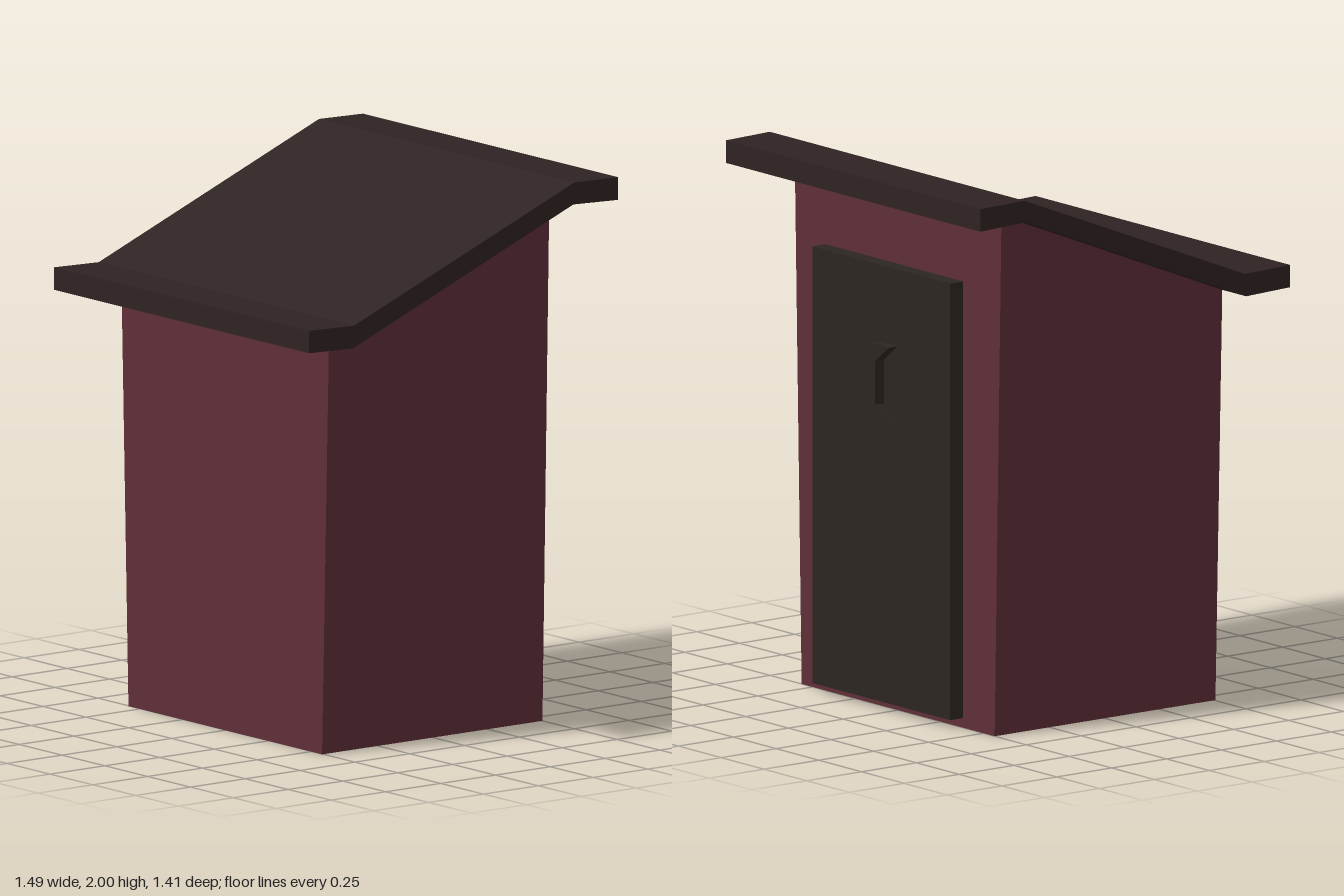
import * as THREE from 'three';

const mat = (name, color) => {
  const m = new THREE.MeshStandardMaterial({ color, flatShading: true });
  m.name = name;
  return m;
};

const shapeOf = (points) => new THREE.Shape(points.map(([x, y]) => new THREE.Vector2(x, y)));

const extrude = (points, depth) =>
  new THREE.ExtrudeGeometry(shapeOf(points), { depth, bevelEnabled: false });

export function createModel() {
  const wallRed = mat('wall red', 0x5f2f38);
  const roofBrown = mat('roof dark brown', 0x2e2322);
  const doorBrown = mat('door dark brown', 0x2d2622);

  const model = new THREE.Group();
  const add = (name, geometry, material) => {
    const mesh = new THREE.Mesh(geometry, material);
    mesh.name = name;
    model.add(mesh);
    return mesh;
  };

  // Hut body: a box narrowing to the ground, with a top that slopes up to the back
  const body = new THREE.BoxGeometry(1, 1, 1);
  const p = body.attributes.position;
  for (let i = 0; i < p.count; i++) {
    const top = p.getY(i) > 0;
    const front = p.getZ(i) > 0;
    p.setX(i, Math.sign(p.getX(i)) * (top ? 0.605 : 0.565));
    p.setY(i, top ? (front ? 1.52 : 1.92) : 0);
    p.setZ(i, front ? 0.505 : -0.5);
  }
  body.computeVertexNormals();
  // Walls are red, the underside (-y) is dark
  add('body', body, [wallRed, wallRed, wallRed, roofBrown, wallRed, wallRed]);

  // Roof: bent slab with a lip at front and back, profile in (z, y)
  const lower = [[0.705, 1.522], [0.505, 1.515], [-0.5, 1.92], [-0.705, 1.912]];
  const upper = [[-0.705, 1.995], [-0.505, 2.0], [0.5, 1.598], [0.705, 1.604]];
  const roof = extrude([...lower, ...upper], 1.49);
  roof.translate(0, 0, -0.745);
  roof.rotateY(-Math.PI / 2);
  add('roof', roof, roofBrown);

  // Door on the back wall
  const door = new THREE.BoxGeometry(0.806, 1.605, 0.06);
  add('door', door, doorBrown).position.set(0.022, 0.838, -0.53);

  // Crescent moon hovering just off the door
  const moon = extrude([
    [-0.1, 0.143], [0.0, 0.143], [0.092, 0.08], [0.092, -0.08],
    [0.0, -0.143], [-0.1, -0.143], [-0.02, -0.08], [-0.02, 0.08],
  ], 0.04);
  add('moon', moon, doorBrown).position.set(0, 1.222, -0.62);

  return model;
}
